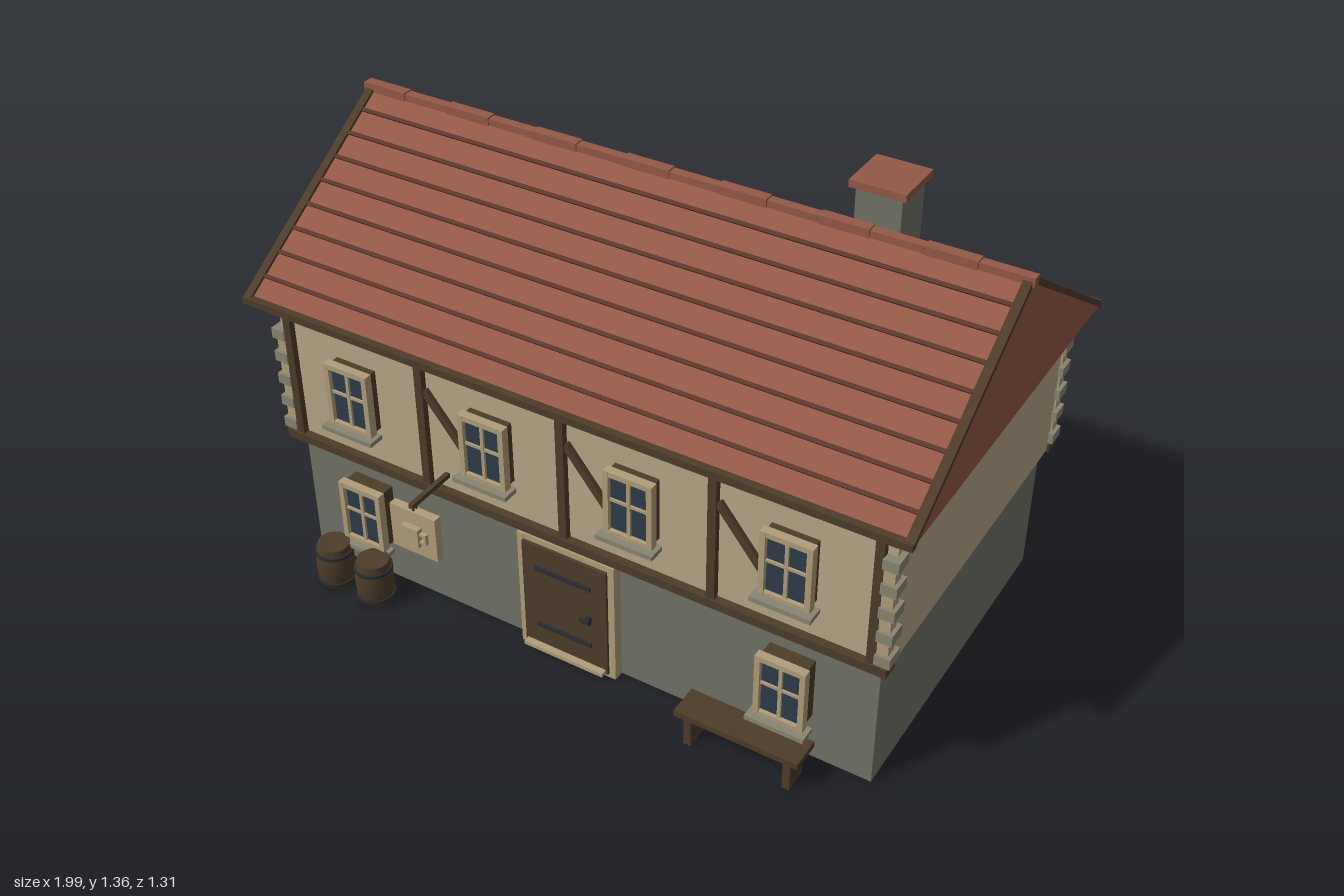
import * as THREE from 'three';

const paint = (name, color) => Object.assign(new THREE.MeshStandardMaterial({ color }), { name });

export function createModel() {
  const model = new THREE.Group();
  model.name = 'timberFramedHouse';
  const stone = paint('stone', 0x717265);
  const plaster = paint('plaster', 0xb6a686);
  const tile = paint('roofTile', 0x935945);
  const seam = paint('tileSeam', 0x5a392b);
  const wood = paint('darkWood', 0x4e3c29);
  const trim = paint('paleTrim', 0xb09d79);
  const sillStone = paint('sillStone', 0x8a8570);
  const glass = paint('glass', 0x2d3d4a);
  const iron = paint('iron', 0x2b2e32);
  const C = -0.055; // depth of the ridge line

  // Box given by its limits on each axis
  function box(name, mat, [x0, x1], [y0, y1], [z0, z1], parent = model) {
    const mesh = new THREE.Mesh(
      new THREE.BoxGeometry(Math.abs(x1 - x0), Math.abs(y1 - y0), Math.abs(z1 - z0)), mat);
    mesh.position.set((x0 + x1) / 2, (y0 + y1) / 2, (z0 + z1) / 2);
    mesh.name = name;
    parent.add(mesh);
    return mesh;
  }
  const around = (c, half) => [c - half, c + half];

  // Walls
  box('groundFloor', stone, [-0.908, 0.908], [0, 0.416], [-0.563, 0.455]);
  box('upperFloor', plaster, [-0.93, 0.93], [0.416, 0.86], [-0.584, 0.474]);

  // Window with casing, frame, glazing bars and sill
  function addWindow(x, y, s, wallDepth) {
    const g = new THREE.Group();
    g.name = 'window';
    model.add(g);
    const part = (name, mat, xs, ys, d0, d1) => box(name, mat, xs, ys, [C + s * d0, C + s * d1], g);
    part('casing', wood, around(x, 0.065), around(y, 0.094), wallDepth - 0.005, 0.561);
    part('pane', glass, around(x, 0.06), around(y, 0.09), 0.561, 0.567);
    for (const k of [-1, 1]) {
      part('frameSide', trim, around(x + k * 0.064, 0.008), around(y, 0.1), 0.555, 0.58);
      part('frameRail', trim, around(x, 0.072), around(y + k * 0.093, 0.008), 0.555, 0.579);
    }
    part('mullion', trim, around(x, 0.005), around(y, 0.088), 0.562, 0.574);
    part('glazingBar', trim, around(x, 0.058), around(y + 0.01, 0.004), 0.562, 0.573);
    part('sill', sillStone, around(x, 0.085), [y - 0.111, y - 0.097], 0.55, 0.6);
  }

  // Timber framing, windows and quoins, alike on front and back
  const bays = [-0.672, -0.226, 0.222, 0.667];
  for (const s of [1, -1]) {
    const depth = (d0, d1) => [C + s * d0, C + s * d1];
    box('topBeam', wood, [-0.937, 0.937], [0.822, 0.85], depth(0.52, 0.553));
    box('bottomBeam', wood, [-0.937, 0.937], [0.411, 0.437], depth(0.5, 0.553));
    for (let i = -2; i <= 2; i++)
      box('post', wood, around(i * 0.446, 0.012), [0.43, 0.825], depth(0.52, 0.548));
    for (let i = 0; i < 3; i++) {
      const brace = box('brace', wood, around(-0.338 + i * 0.447, 0.011), around(0.623, 0.157), depth(0.525, 0.543));
      brace.rotation.z = 0.672;
    }
    for (const x of bays) addWindow(x, 0.645, s, 0.53);
    for (const x of [bays[0], bays[3]]) addWindow(x, 0.241, s, 0.509);
    for (const side of [-1, 1])
      for (let i = 0; i < 5; i++) {
        const y = 0.46 + i * 0.075;
        box('quoin', sillStone, [side * 0.902, side * 0.945], around(y, 0.016), depth(0.498, 0.553));
        if (i < 4) box('shortQuoin', trim, [side * 0.902, side * 0.935], around(y + 0.0375, 0.02), depth(0.51, 0.545));
      }
  }

  // Roof body with gable ends
  const ridgeY = 1.265, eaveY = 0.876, half = 0.59;
  const gable = new THREE.Shape([
    [-half, 0.866], [half, 0.866], [half, eaveY], [0, ridgeY], [-half, eaveY],
  ].map(([a, b]) => new THREE.Vector2(a, b)));
  const roofGeo = new THREE.ExtrudeGeometry(gable, { depth: 1.97, bevelEnabled: false });
  roofGeo.translate(0, 0, -0.985).rotateY(Math.PI / 2);
  const roof = new THREE.Mesh(roofGeo, tile);
  roof.name = 'roof';
  roof.position.z = C;
  model.add(roof);

  // Tile seams, bargeboards and eaves on both slopes
  const slope = Math.atan2(ridgeY - eaveY, half);
  const slopeLength = Math.hypot(ridgeY - eaveY, half);
  for (const s of [1, -1]) {
    const onSlope = (name, mat, w, h, l, x, t) => {
      const m = new THREE.Mesh(new THREE.BoxGeometry(w, h, l), mat);
      m.name = name;
      m.position.set(x, ridgeY + (eaveY - ridgeY) * t, C + s * half * t);
      m.rotation.x = s * slope;
      model.add(m);
    };
    for (let i = 1; i < 9; i++) onSlope('tileSeam', seam, 1.95, 0.012, 0.011, 0, i / 9);
    for (const side of [-1, 1])
      onSlope('bargeboard', wood, 0.024, 0.016, slopeLength, side * 0.979, 0.5);
    box('eaveBoard', wood, [-0.99, 0.99], [0.865, 0.885], [C + s * 0.578, C + s * 0.599]);
  }

  // Ridge tiles
  for (let i = 0; i < 14; i++) {
    const x = -0.998 + i * 1.996 / 14;
    box('ridgeTile', tile, [x, x + 0.141], [1.252, i % 2 ? 1.276 : 1.279], around(C, i % 2 ? 0.014 : 0.016));
  }

  // Chimney
  box('chimney', stone, [0.49, 0.617], [1.05, 1.342], [-0.247, -0.117]);
  box('chimneyCap', tile, [0.475, 0.631], [1.34, 1.361], [-0.26, -0.104]);

  // Door
  for (const k of [-1, 1]) box('doorJamb', trim, [k * 0.133, k * 0.154], [0, 0.393], [0.45, 0.487]);
  box('doorLintel', trim, [-0.154, 0.154], [0.373, 0.393], [0.45, 0.486]);
  box('door', wood, [-0.134, 0.134], [0.015, 0.375], [0.45, 0.495]);
  box('threshold', trim, [-0.154, 0.154], [0, 0.018], [0.45, 0.487]);
  box('doorStep', trim, [-0.128, 0.128], [0.018, 0.03], [0.48, 0.515]);
  for (const y of [0.1, 0.3]) box('hinge', iron, [-0.09, 0.085], around(y, 0.007), [0.494, 0.501]);
  box('doorHandle', iron, [0.055, 0.085], around(0.19, 0.006), [0.502, 0.511]);
  box('handleStem', iron, [0.073, 0.085], [0.175, 0.205], [0.494, 0.504]);

  // Hanging sign with a mug in relief
  box('signArm', wood, around(-0.385, 0.007), [0.473, 0.487], [0.47, 0.637]);
  for (const k of [-1, 1]) box('signHook', iron, around(-0.385, 0.003), [0.455, 0.475], around(0.622 + k * 0.006, 0.002));
  box('signBoard', trim, [-0.46, -0.31], [0.32, 0.461], [0.61, 0.635]);
  box('mug', trim, [-0.412, -0.357], [0.36, 0.418], [0.63, 0.653]);
  for (const y of [0.376, 0.402]) box('mugHandleEnd', trim, [-0.36, -0.336], around(y, 0.004), [0.632, 0.647]);
  box('mugHandle', trim, [-0.343, -0.336], [0.372, 0.406], [0.632, 0.647]);

  // Bench
  box('benchSeat', wood, [0.404, 0.766], [0.094, 0.112], [0.505, 0.598]);
  for (const x of [0.441, 0.732]) box('benchLeg', wood, around(x, 0.011), [0, 0.096], [0.52, 0.59]);

  // Barrels with bulging staves and two hoops
  const staves = [[0, 0], [0.047, 0], [0.053, 0.035], [0.056, 0.072], [0.053, 0.11], [0.047, 0.145]]
    .map(([r, y]) => new THREE.Vector2(r, y));
  for (const x of [-0.753, -0.611]) {
    const barrel = new THREE.Group();
    barrel.name = 'barrel';
    barrel.position.set(x, 0, 0.564);
    const add = (name, geo, mat, y) => {
      const m = new THREE.Mesh(geo, mat);
      m.name = name;
      m.position.y = y;
      barrel.add(m);
    };
    add('staves', new THREE.LatheGeometry(staves, 20), wood, 0);
    add('lid', new THREE.CylinderGeometry(0.047, 0.047, 0.004, 20), wood, 0.143);
    for (const y of [0.025, 0.12])
      add('hoop', new THREE.CylinderGeometry(0.056, 0.056, 0.01, 20), iron, y);
    model.add(barrel);
  }

  return model;
}
